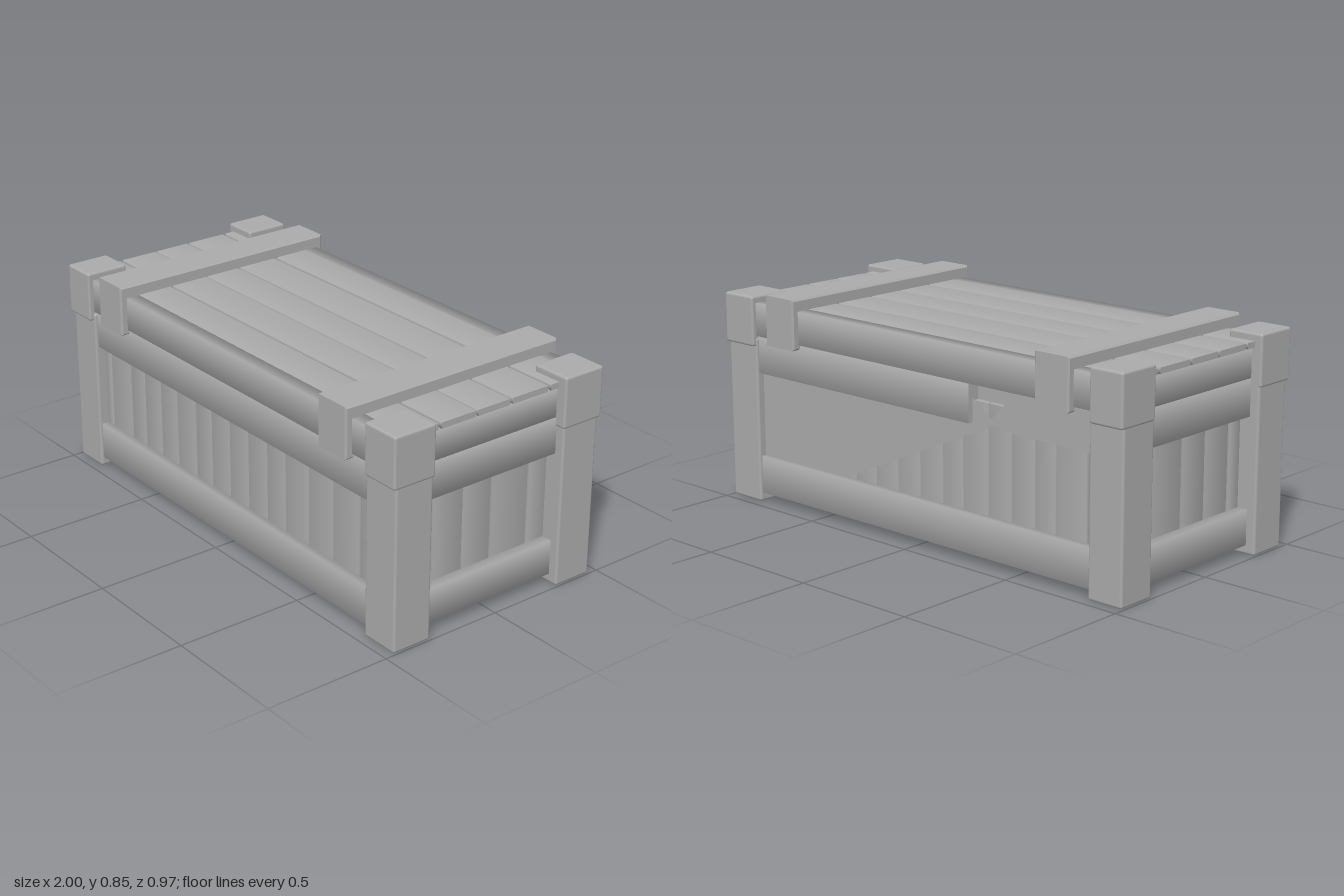
import * as THREE from 'three';
import { RoundedBoxGeometry } from 'three/addons/geometries/RoundedBoxGeometry.js';

export function createModel() {
  const crate = new THREE.Group();
  crate.name = 'crate';
  const wood = new THREE.MeshStandardMaterial({ color: 0xaaaaaa, side: THREE.DoubleSide });
  wood.name = 'greyWood';

  const add = (name, geometry) => {
    const mesh = new THREE.Mesh(geometry, wood);
    mesh.name = name;
    crate.add(mesh);
    return mesh;
  };

  // Softly shaded four-sided beam running along one axis
  const beam = (name, axis, x0, x1, y0, y1, z0, z1) => {
    const g = new THREE.CylinderGeometry(Math.SQRT1_2, Math.SQRT1_2, 1, 4, 1, false, Math.PI / 4);
    if (axis === 'x') g.rotateZ(Math.PI / 2);
    if (axis === 'z') g.rotateX(Math.PI / 2);
    g.scale(x1 - x0, y1 - y0, z1 - z0);
    g.translate((x0 + x1) / 2, (y0 + y1) / 2, (z0 + z1) / 2);
    add(name, g);
  };

  // Block with slightly worn edges
  const block = (name, x0, x1, y0, y1, z0, z1) => {
    const g = new RoundedBoxGeometry(x1 - x0, y1 - y0, z1 - z0, 2, 0.01);
    g.translate((x0 + x1) / 2, (y0 + y1) / 2, (z0 + z1) / 2);
    add(name, g);
  };

  const outline = points => new THREE.Shape(points.map(p => new THREE.Vector2(...p)));

  // Corner posts with wider caps
  for (const sz of [1, -1]) {
    const span = (a, b) => (sz > 0 ? [a, b] : [-b, -a]);
    block('cornerPost', -0.995, -0.845, 0, 0.66, ...span(0.3, 0.462));
    block('cornerPost', 0.835, 0.995, 0, 0.66, ...span(0.3, 0.462));
    block('postCap', -1, -0.855, 0.63, 0.828, ...span(0.3, 0.478));
    block('postCap', 0.84, 1, 0.627, 0.825, ...span(0.295, 0.475));
  }

  // Long rails on the front and back
  for (const [z0, z1] of [[0.385, 0.45], [-0.45, -0.385]]) {
    beam('bottomRail', 'x', -0.86, 0.85, 0.035, 0.185, z0, z1);
    beam('lidRail', 'x', -0.87, 0.85, 0.668, 0.798, z0 * 1.015, z1 * 1.015);
  }
  beam('frontMiddleRail', 'x', -0.86, 0.85, 0.52, 0.668, 0.385, 0.45);

  // Back middle rail, snapped in two
  beam('brokenRail', 'x', -0.28, 0.85, 0.52, 0.665, -0.45, -0.385);
  const stub = outline([[-0.86, 0.52], [-0.5, 0.52], [-0.38, 0.545], [-0.5, 0.665], [-0.86, 0.665]]);
  add('brokenRailStub', new THREE.ExtrudeGeometry(stub, { depth: 0.065, bevelEnabled: false }))
    .position.z = -0.45;

  // Short rails on both ends
  for (const [x0, x1] of [[0.86, 0.957], [-0.957, -0.86]]) {
    beam('endBottomRail', 'z', x0, x1, 0.035, 0.172, -0.32, 0.32);
    beam('endMiddleRail', 'z', x0, x1, 0.52, 0.662, -0.32, 0.32);
    beam('endTopRail', 'z', x0, x1, 0.662, 0.777, -0.32, 0.32);
  }

  // Upright slats behind the long rails: pairs of left and right edges
  const longSlats = [[-0.86, -0.81], [-0.8, -0.67], [-0.66, -0.57], [-0.565, -0.46],
    [-0.455, -0.35], [-0.345, -0.23], [-0.22, -0.125], [-0.12, -0.01], [-0.005, 0.105],
    [0.11, 0.22], [0.225, 0.33], [0.335, 0.465], [0.47, 0.605], [0.61, 0.75], [0.76, 0.85]];
  for (const [a, b] of longSlats) {
    beam('frontSlat', 'y', a, b, 0.1, 0.6, 0.385, 0.42);
    beam('backSlat', 'y', a, b, 0.1, 0.6, -0.42, -0.385);
  }

  // Upright slats on both ends
  for (const [a, b] of [[-0.32, -0.22], [-0.21, -0.045], [-0.035, 0.09], [0.095, 0.227], [0.24, 0.32]]) {
    beam('endSlat', 'y', 0.87, 0.915, 0.1, 0.6, a, b);
    beam('endSlat', 'y', -0.915, -0.87, 0.1, 0.6, a, b);
  }

  // Slanting torn panel across the back
  const tear = outline([[0.85, 0.17], [0.41, 0.17], [-0.39, 0.53], [-0.27, 0.62], [0.85, 0.62]]);
  add('tornBackPanel', new THREE.ShapeGeometry(tear).translate(0, 0, -0.43));

  // Lid planks
  for (const [a, b] of [[0.257, 0.4], [0.09, 0.243], [-0.065, 0.08], [-0.243, -0.077], [-0.4, -0.258]]) {
    beam('lidPlank', 'x', -0.97, 0.964, 0.776, 0.799, a, b);
  }

  // Inner box closing the gaps between slats, and the floor panel
  block('innerBox', -0.885, 0.885, 0.05, 0.773, -0.4, 0.4);
  block('floor', -0.9, 0.9, 0.037, 0.065, -0.42, 0.42);

  // Straps folded over the lid
  const strap = outline([
    [-0.477, 0.655], [-0.435, 0.655], [-0.435, 0.785], [0.435, 0.785],
    [0.435, 0.655], [0.477, 0.655], [0.477, 0.838], [-0.477, 0.838],
  ]);
  for (const x of [-0.693, 0.677]) {
    const g = new THREE.ExtrudeGeometry(strap, {
      depth: 0.141, bevelThickness: 0.007, bevelSize: 0.007, bevelSegments: 1,
    });
    g.translate(0, 0, -0.0705);
    g.rotateY(Math.PI / 2);
    add('lidStrap', g).position.x = x;
  }
  return crate;
}
